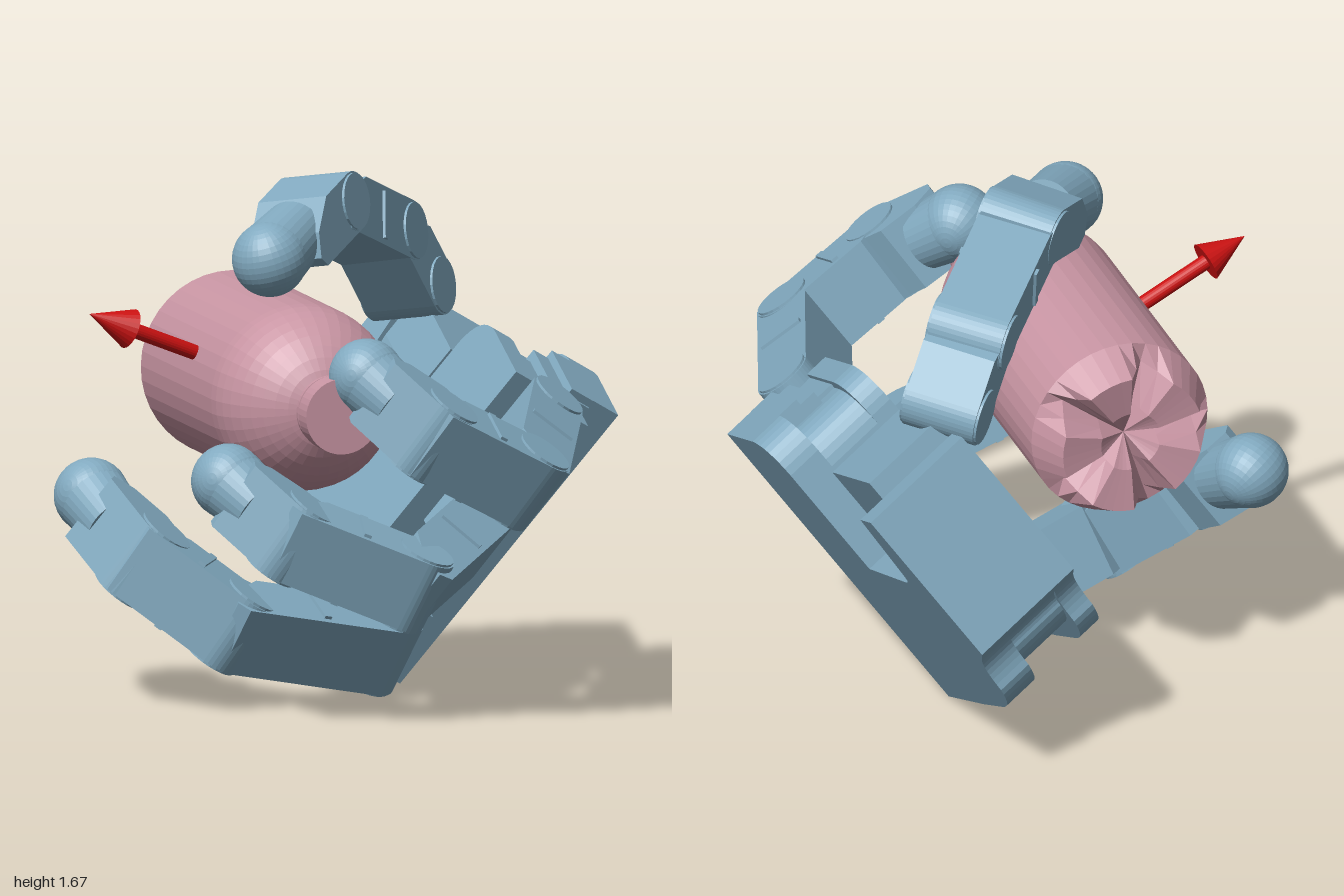
import * as THREE from 'three';

const V = (x, y, z) => new THREE.Vector3(x, y, z);
const paint = (color) => new THREE.MeshStandardMaterial({ color, flatShading: true, side: THREE.DoubleSide });
const blue = paint(0x82aac0), pink = paint(0xc895a3), red = paint(0xcc1111);

// Palm axes: across the palm, out of the palm, toward the fingers
const across = V(0.54, 0.778, 0.32).normalize();
const ahead = V(0, -0.38, 0.925).normalize();
const inward = ahead.clone().cross(across).normalize();
across.crossVectors(inward, ahead);

function add(parent, name, geometry, material, x = 0, y = 0, z = 0) {
  const mesh = new THREE.Mesh(geometry, material);
  mesh.name = name;
  mesh.position.set(x, y, z);
  parent.add(mesh);
  return mesh;
}

function group(parent, name) {
  const g = new THREE.Group();
  g.name = name;
  parent.add(g);
  return g;
}

// Outline in the palm plane (across, ahead), thickened inward
function slab(shape, height) {
  const g = new THREE.ExtrudeGeometry(shape, { depth: height, bevelEnabled: false, curveSegments: 8 });
  return g.rotateX(Math.PI / 2).translate(0, height, 0);
}

// Front half of the palm with a rounded corner, reaching to the given length
function frontOutline(right, end, inset) {
  const s = new THREE.Shape();
  s.moveTo(-0.28 + inset, 0.52);
  s.lineTo(right - 0.13, 0.52);
  s.quadraticCurveTo(right - 0.01, 0.53, right, 0.64);
  s.lineTo(right, end);
  s.lineTo(-0.295 + inset, end);
  return s;
}

// Heel with wrist wall and the notch for the thumb
function heelOutline(inset) {
  const s = new THREE.Shape();
  s.moveTo(0, 0);
  s.lineTo(0.566, 0);
  s.lineTo(0.566, 0.1);
  s.lineTo(0.31, 0.15);
  s.quadraticCurveTo(0.285, 0.16, 0.285, 0.19);
  s.lineTo(0.3, 0.52);
  s.lineTo(-0.28 + inset, 0.52);
  s.lineTo(-0.265 + inset, 0.33);
  s.quadraticCurveTo(-0.26 + inset, 0.19, -0.17 + inset, 0.14);
  s.quadraticCurveTo(-0.07 + inset * 0.3, 0.13, -0.03, 0.06);
  return s;
}

function buildPalm(parent) {
  const palm = group(parent, 'palm');
  palm.applyMatrix4(new THREE.Matrix4().makeBasis(across, inward, ahead).setPosition(0.415, 0.573, -0.995));

  // Back plate, recessed core and inner cover
  add(palm, 'heelBack', slab(heelOutline(0), 0.12), blue);
  add(palm, 'heelCore', slab(heelOutline(0.07), 0.4), blue);
  add(palm, 'heelCover', slab(heelOutline(0), 0.08), blue, 0, 0.32, 0);
  add(palm, 'backPlate', slab(frontOutline(0.83, 0.887, 0), 0.12), blue);
  add(palm, 'palmCore', slab(frontOutline(0.76, 0.74, 0.07), 0.4), blue);
  add(palm, 'innerCover', slab(frontOutline(0.79, 0.9, 0), 0.08), blue, 0, 0.32, 0);

  // Thumb mount filling the notch, rounded toward its floor
  add(palm, 'thumbMount', new THREE.BoxGeometry(0.18, 0.29, 0.36), blue, 0.53, 0.25, 0.32);
  const round = new THREE.CylinderGeometry(0.145, 0.145, 0.36, 24).rotateX(Math.PI / 2);
  add(palm, 'thumbMountRound', round, blue, 0.44, 0.25, 0.32);

  // Stepped knuckle mount for each finger
  for (const x of [0.68, 0.31, -0.12]) {
    add(palm, 'knuckleMount', new THREE.BoxGeometry(0.19, 0.21, 0.28), blue, x, 0.215, 0.83);
    for (const side of [-1, 1]) {
      add(palm, 'knuckleStep', new THREE.BoxGeometry(0.05, 0.15, 0.24), blue, x + side * 0.1, 0.18, 0.78);
      add(palm, 'knuckleStepLow', new THREE.BoxGeometry(0.04, 0.09, 0.24), blue, x + side * 0.13, 0.15, 0.77);
    }
  }
}

// Link side profile: round at the start, squared outside and cut away inside at the end
function linkGeometry(length, depth, width) {
  const r = depth / 2;
  const s = new THREE.Shape();
  s.moveTo(0, -r);
  s.lineTo(length + 0.03, -r);
  s.lineTo(length + 0.06, -r * 0.6);
  s.lineTo(length + 0.03, r * 0.2);
  s.lineTo(length - 0.08, r);
  s.lineTo(0, r);
  s.absarc(0, 0, r, Math.PI / 2, Math.PI * 1.5, false);
  const g = new THREE.ExtrudeGeometry(s, { depth: width, bevelEnabled: false, curveSegments: 10 });
  return g.rotateY(-Math.PI / 2).translate(width / 2, 0, 0);
}

// Finger through its joints; the last point is the centre of the round tip
function buildFinger(parent, name, points, hinge) {
  const finger = group(parent, name);
  const width = 0.24, depth = 0.19;
  for (let i = 0; i < points.length - 1; i++) {
    const dir = points[i + 1].clone().sub(points[i]);
    const length = dir.length();
    dir.normalize();
    const side = hinge.clone().addScaledVector(dir, -hinge.dot(dir)).normalize();
    const link = group(finger, name + 'Link' + (i + 1));
    link.applyMatrix4(new THREE.Matrix4().makeBasis(side, dir.clone().cross(side), dir).setPosition(points[i]));
    const last = i === points.length - 2;

    add(link, 'linkBody', linkGeometry(last ? length * 0.6 : length, depth, width), blue);
    const pin = new THREE.CylinderGeometry(depth * 0.47, depth * 0.47, width + 0.016, 24).rotateZ(Math.PI / 2);
    add(link, 'hinge', pin, blue);
    if (last) {
      const start = length * 0.5;
      const stem = new THREE.CylinderGeometry(0.118, 0.105, length - start, 32).rotateX(Math.PI / 2);
      add(link, 'tipStem', stem, blue, 0, 0, (length + start) / 2);
      add(link, 'tip', new THREE.SphereGeometry(0.119, 32, 20), blue, 0, 0, length);
    } else if (length > 0.3) {
      // Rib around the middle of a long link
      add(link, 'rib', new THREE.BoxGeometry(width + 0.02, depth * 0.8, 0.025), blue, 0, 0, length * 0.52);
    }
  }
}

function buildBottle(parent) {
  const profile = [[0, 0.09], [0.1, 0.02], [0.235, 0], [0.295, 0.125], [0.295, 0.9]];
  for (let i = 1; i <= 9; i++) {
    const a = i * 0.143;
    profile.push([0.295 * Math.cos(a), 0.9 + 0.295 * Math.sin(a)]);
  }
  profile.push([0.085, 1.19], [0.085, 1.23], [0.115, 1.235], [0.115, 1.25], [0.09, 1.255], [0.09, 1.27],
    [0.12, 1.275], [0.12, 1.36], [0, 1.36]);
  const start = 1.87 + Math.PI / 2;
  const g = new THREE.LatheGeometry(profile.map(([r, y]) => new THREE.Vector2(r, y)), 40, start);

  // Five grooves radiating across the foot
  const p = g.attributes.position, step = Math.PI * 0.4;
  for (let i = 0; i < p.count; i++) {
    const y = p.getY(i), r = Math.hypot(p.getX(i), p.getZ(i));
    if (y > 0.1 || r < 0.02) continue;
    const a = Math.atan2(p.getX(i), p.getZ(i)) - start;
    const off = Math.abs(a - step * Math.round(a / step));
    const lift = Math.max(0, 1 - off / 0.314);
    p.setY(i, y + lift * ((r > 0.2 ? 0.122 : 0.1) - y));
  }
  g.rotateX(Math.PI / 2);
  g.computeVertexNormals();
  add(parent, 'bottle', g, pink, -0.228, 1.01, -0.63);
}

function buildArrow(parent) {
  const arrow = group(parent, 'arrow');
  const from = V(-0.228, 1.018, -0.03), tip = V(-0.86, 1.27, 0.063);
  const dir = tip.clone().sub(from), length = dir.length();
  arrow.position.copy(from);
  arrow.quaternion.setFromUnitVectors(V(0, 1, 0), dir.normalize());
  add(arrow, 'arrowShaft', new THREE.CylinderGeometry(0.024, 0.024, length - 0.15, 20), red, 0, (length - 0.15) / 2, 0);
  add(arrow, 'arrowHead', new THREE.ConeGeometry(0.064, 0.15, 24), red, 0, length - 0.075, 0);
}

export function createModel() {
  const model = new THREE.Group();
  model.name = 'grippingHand';
  buildPalm(model);
  buildFinger(model, 'upperFinger',
    [V(0.56, 0.88, 0.2), V(0.34, 0.79, 0.8), V(0.02, 0.96, 0.87), V(-0.14, 1.13, 0.695)], across);
  buildFinger(model, 'middleFinger',
    [V(0.37, 0.54, 0.13), V(0.03, 0.45, 0.61), V(-0.35, 0.61, 0.58), V(-0.5, 0.77, 0.39)], across);
  buildFinger(model, 'lowerFinger',
    [V(0.12, 0.16, -0.03), V(-0.41, 0.27, 0.12), V(-0.66, 0.47, -0.02), V(-0.745, 0.64, -0.3)], across);
  buildFinger(model, 'thumb',
    [V(0.36, 1.22, -0.54), V(0.24, 1.41, -0.44), V(-0.05, 1.56, -0.11), V(-0.31, 1.44, 0.2)], V(0.75, 0.16, 0.65).normalize());
  buildBottle(model);
  buildArrow(model);
  return model;
}
